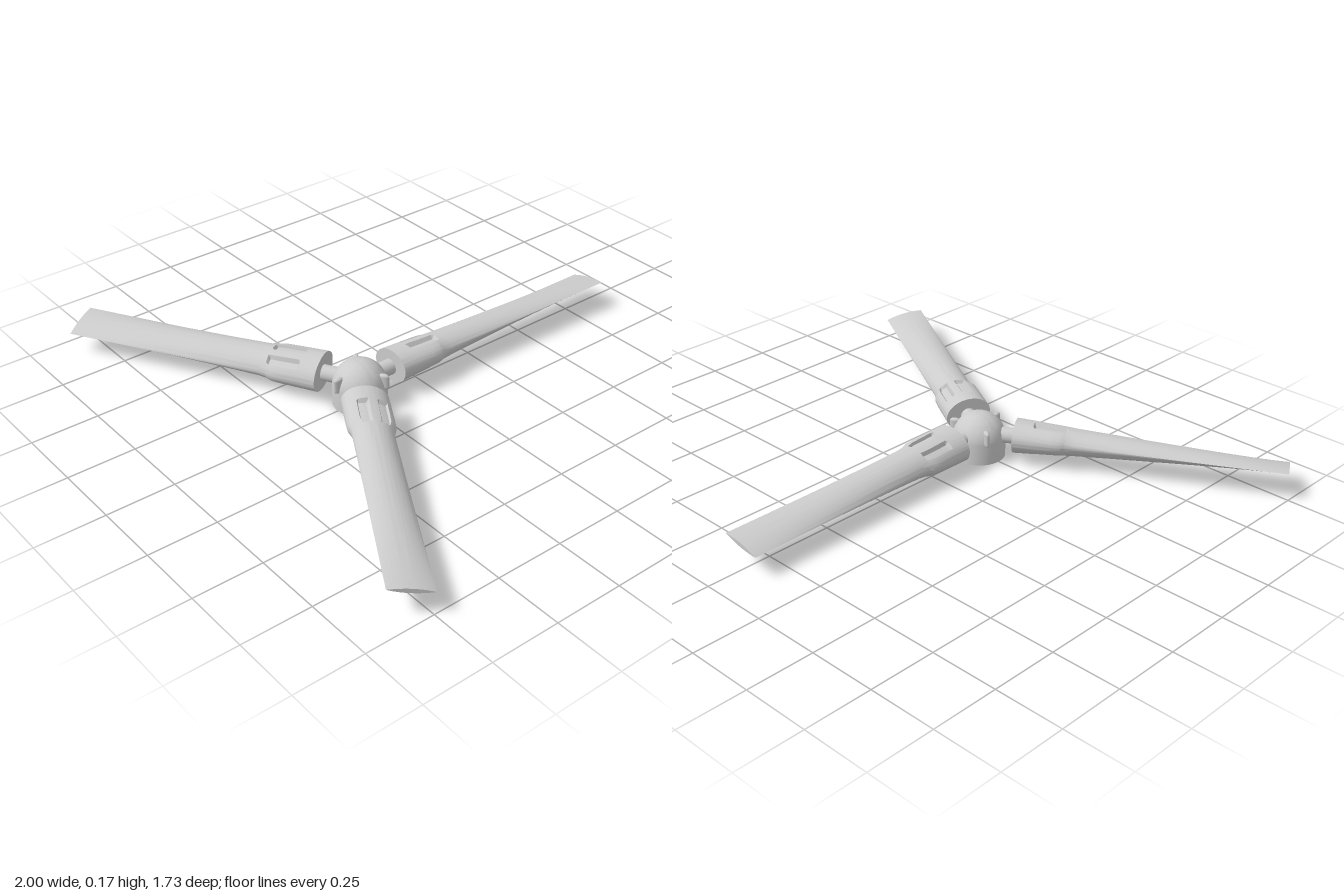
import * as THREE from 'three';
import { toCreasedNormals } from 'three/addons/utils/BufferGeometryUtils.js';

const HUB_Z = 0.247, AXIS_Y = 0.092, PITCH = 0.195;
const mat = new THREE.MeshStandardMaterial({ color: 0xcccccc });

function add(parent, name, geometry, x = 0, y = 0, z = 0) {
  const mesh = new THREE.Mesh(geometry, mat);
  mesh.name = name;
  mesh.position.set(x, y, z);
  parent.add(mesh);
  return mesh;
}

// Slots sit two above and two below the root sleeve.
function inSlot(deg, r) {
  const d = deg > 180 ? 360 - deg : deg;
  return r > 0.208 && r < 0.325 && ((d > 59 && d < 81) || (d > 109 && d < 131));
}

// Lofted blade: elliptical slotted sleeve, then a lens section thinning to the tip.
function bladeGeometry() {
  // radius, half width, half height, section sharpness
  const rows = [
    [0.137, 0.084, 0.062, 1], [0.205, 0.084, 0.058, 1], [0.212, 0.084, 0.058, 1],
    [0.27, 0.084, 0.054, 1], [0.305, 0.083, 0.052, 1], [0.322, 0.077, 0.051, 1.05],
    [0.33, 0.074, 0.05, 1.1], [0.36, 0.072, 0.048, 1.2],
  ];
  for (let i = 1; i <= 12; i++) {
    const t = i / 12;
    rows.push([0.36 + 0.75 * t, 0.072 + 0.003 * t, 0.048 - 0.04 * t, 1.2 + 0.8 * t]);
  }
  const N = 72, pos = [], idx = [];
  for (const [r, a, b, p] of rows) {
    for (let j = 0; j < N; j++) {
      const deg = j * 360 / N, t = deg * Math.PI / 180, s = Math.sin(t);
      const depth = inSlot(deg, r) ? 0.72 : 1;
      pos.push(a * Math.cos(t), b * Math.sign(s) * Math.abs(s) ** p * depth, -r);
    }
  }
  const last = rows.length - 1, root = pos.length / 3, tip = root + 1;
  pos.push(0, 0, -rows[0][0], 0, 0, -rows[last][0]);
  for (let j = 0; j < N; j++) {
    const k = (j + 1) % N;
    for (let i = 0; i < last; i++) {
      const p = i * N, q = p + N;
      idx.push(p + j, q + j, p + k, q + j, q + k, p + k);
    }
    idx.push(root, j, k, tip, last * N + k, last * N + j);
  }
  const g = new THREE.BufferGeometry();
  g.setAttribute('position', new THREE.Float32BufferAttribute(pos, 3));
  g.setIndex(idx);
  g.rotateZ(PITCH);
  return toCreasedNormals(g, 0.5);
}

export function createModel() {
  const model = new THREE.Group();
  model.name = 'threeBladeRotor';

  // Hub: short cylinder with a domed top
  const profile = [new THREE.Vector2(0, 0), new THREE.Vector2(0.097, 0)];
  for (let i = 0; i <= 16; i++) {
    const t = i / 16 * Math.PI / 2;
    profile.push(new THREE.Vector2(0.097 * Math.cos(t), 0.07 + 0.097 * Math.sin(t)));
  }
  add(model, 'hub', toCreasedNormals(new THREE.LatheGeometry(profile, 48), 0.6), 0, 0, HUB_Z);

  const blade = bladeGeometry();
  const rod = new THREE.CylinderGeometry(0.029, 0.029, 0.12, 32).rotateX(Math.PI / 2);
  const lug = new THREE.CapsuleGeometry(0.01, 0.04, 6, 16).scale(1, 1, 2);

  // Three arms, each with a lug on the opposite side of the hub
  for (let i = 0; i < 3; i++) {
    const arm = new THREE.Group();
    arm.name = 'arm' + (i + 1);
    arm.position.set(0, 0, HUB_Z);
    arm.rotation.y = i * Math.PI * 2 / 3;
    add(arm, 'blade', blade, 0, AXIS_Y, 0);
    add(arm, 'bladeRod', rod, 0, 0.088, -0.09);
    add(arm, 'hubLug', lug, 0, 0.103, 0.09);
    model.add(arm);
  }
  return model;
}
